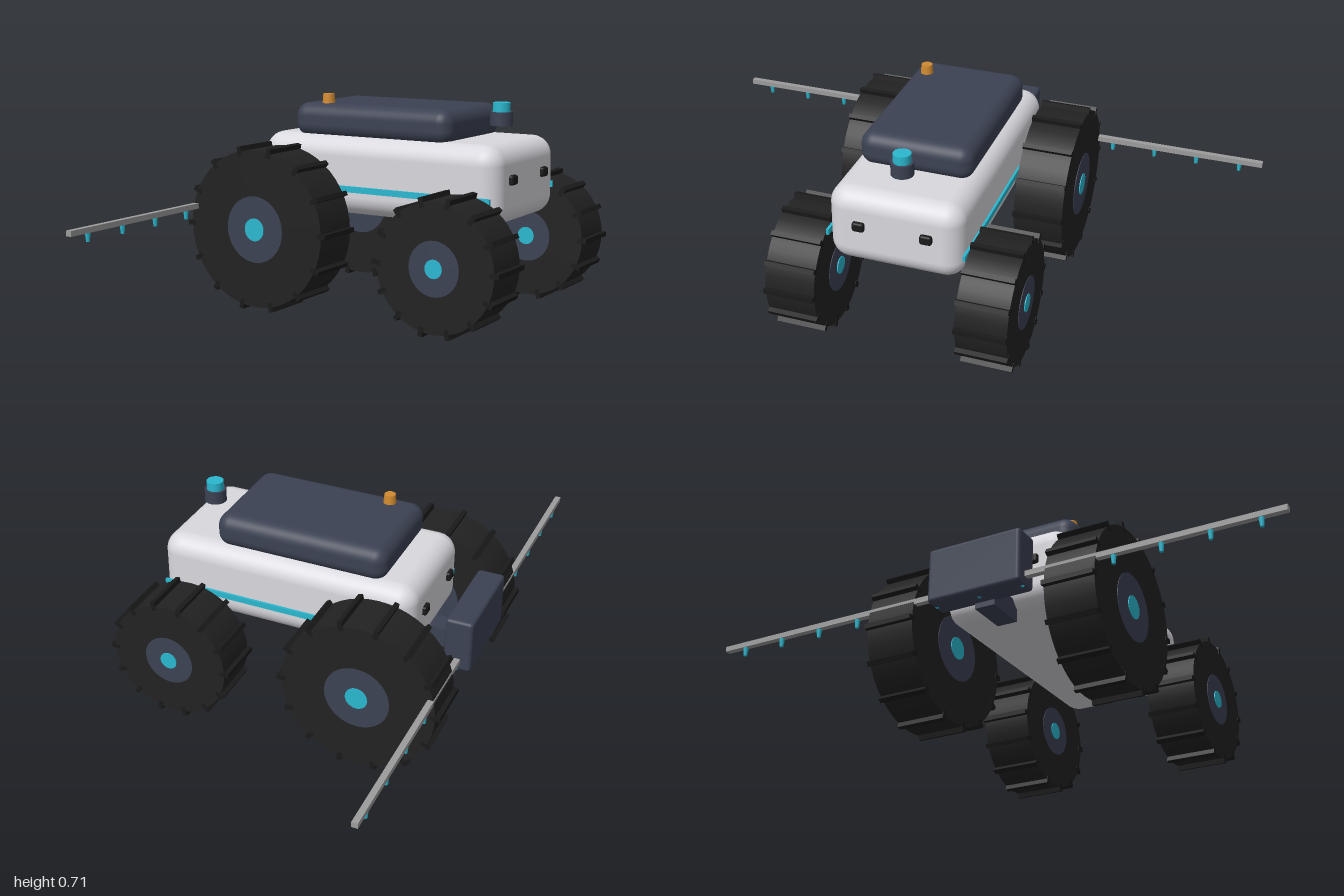
import * as THREE from 'three';
import { RoundedBoxGeometry } from 'three/addons/geometries/RoundedBoxGeometry.js';

const mat = (name, color) => {
  const m = new THREE.MeshStandardMaterial({ color });
  m.name = name;
  return m;
};

export function createModel() {
  const shell = mat('light grey shell', 0xd8d8de);
  const slate = mat('slate', 0x3c4253);
  const rubber = mat('tyre rubber', 0x222222);
  const black = mat('black', 0x1a1a1a);
  const cyan = mat('cyan', 0x2bb8d0);
  const amber = mat('amber', 0xd08a30);
  const metal = mat('boom metal', 0x9c9c9c);

  const model = new THREE.Group();
  model.name = 'fieldRobot';

  const add = (name, geometry, material, x, y, z, parent = model) => {
    const mesh = new THREE.Mesh(geometry, material);
    mesh.name = name;
    mesh.position.set(x, y, z);
    parent.add(mesh);
    return mesh;
  };
  const box = (w, h, d) => new THREE.BoxGeometry(w, h, d);
  const rounded = (w, h, d, r) => new RoundedBoxGeometry(w, h, d, 5, r);
  const drum = (rTop, rBottom, h, n = 32) => new THREE.CylinderGeometry(rTop, rBottom, h, n);
  const disc = (r, width) => drum(r, r, width, 48).rotateX(Math.PI / 2);

  // Hull and the tank on top
  add('body', rounded(0.904, 0.262, 0.45, 0.065), shell, 0.036, 0.448, 0);
  add('tank', rounded(0.6, 0.115, 0.38, 0.045), slate, -0.003, 0.6225, 0);

  // Side stripes
  for (const side of [1, -1]) {
    add('sideStripe', box(0.87, 0.02, 0.009), cyan, 0.036, 0.408, side * 0.2285);
  }

  // Sensor and beacon
  add('sensorBase', drum(0.037, 0.037, 0.044), slate, 0.392, 0.646, 0);
  add('sensorHead', drum(0.029, 0.029, 0.03), cyan, 0.392, 0.683, 0);
  add('beacon', drum(0.019, 0.022, 0.035, 20), amber, -0.192, 0.6935, 0.133);

  // Cameras at both ends
  for (const x of [0.487, -0.415]) {
    for (const side of [1, -1]) {
      add('camera', rounded(0.03, 0.032, 0.04, 0.008), black, x, 0.466, side * 0.112);
    }
  }

  // Rear pump box on its hitch
  add('hitch', box(0.14, 0.07, 0.07), slate, -0.45, 0.315, 0);
  add('pumpBox', rounded(0.093, 0.185, 0.33, 0.012), slate, -0.5505, 0.3905, 0);

  // Spray boom with evenly spaced nozzles
  add('boom', box(0.02, 0.018, 2), metal, -0.552, 0.335, 0);
  for (let i = -6; i <= 6; i++) {
    const z = i * 0.1533;
    add('nozzle', drum(0.009, 0.006, 0.03, 12), cyan, -0.552, 0.312, z);
  }

  // Wheels: tyre, tread lugs, rim and hub cap showing on both sides
  const makeWheel = (name, radius, rimRadius, capRadius, x, y, z) => {
    const wheel = new THREE.Group();
    wheel.name = name;
    wheel.position.set(x, y, z);
    add('tyre', disc(radius, 0.17), rubber, 0, 0, 0, wheel);
    add('rim', disc(rimRadius, 0.174), slate, 0, 0, 0, wheel);
    add('hubCap', disc(capRadius, 0.18), cyan, 0, 0, 0, wheel);
    const lug = box(0.032, 0.016, 0.172);
    for (let i = 0; i < 14; i++) {
      const a = (i / 14) * Math.PI * 2;
      const m = add('lug', lug, black, Math.cos(a) * radius, Math.sin(a) * radius, 0, wheel);
      m.rotation.z = a;
    }
    model.add(wheel);
  };
  for (const side of [1, -1]) {
    makeWheel('rearWheel', 0.263, 0.111, 0.038, -0.306, 0.276, side * 0.32);
    makeWheel('frontWheel', 0.207, 0.088, 0.03, 0.373, 0.22, side * 0.32);
  }

  return model;
}
